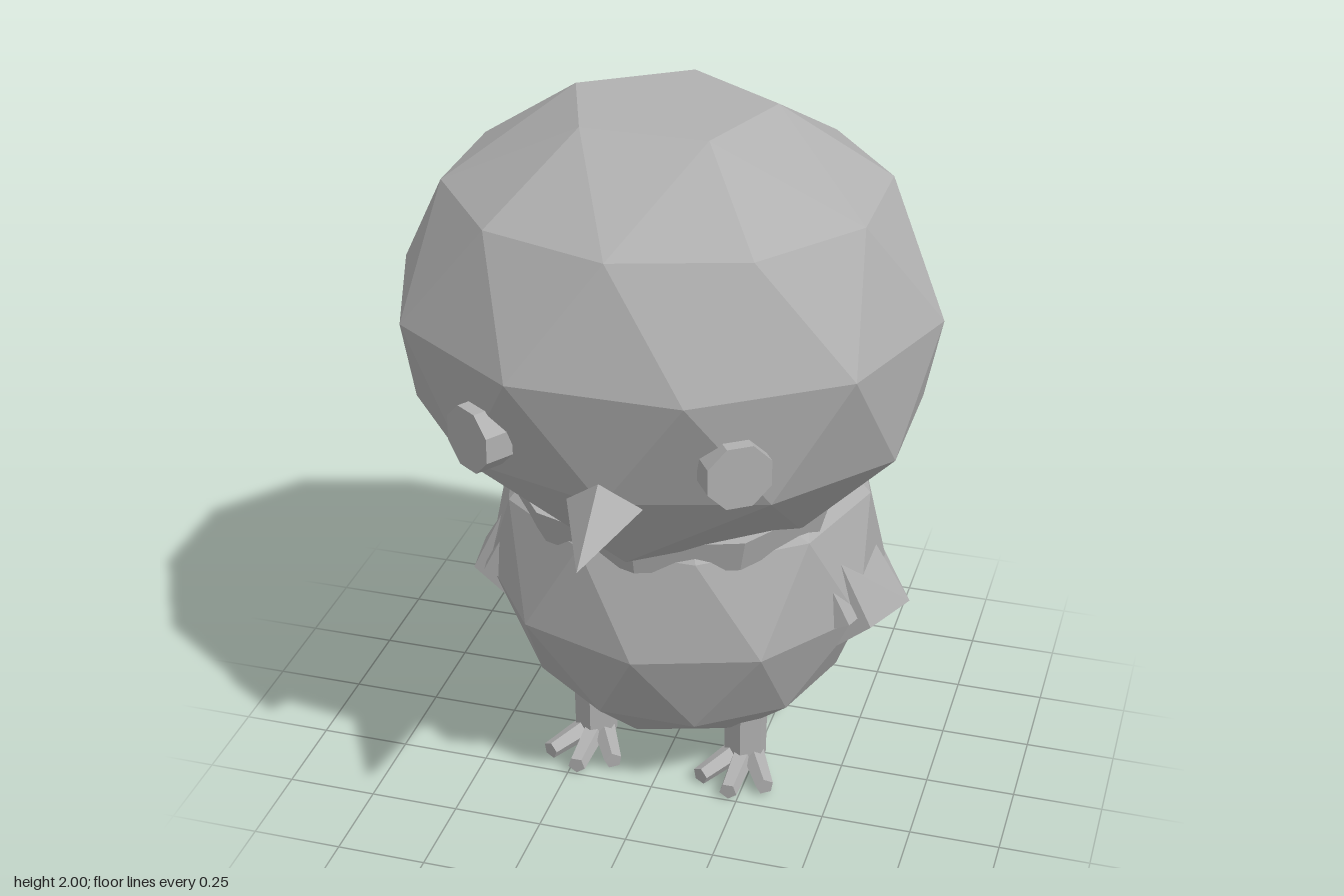
import * as THREE from 'three';
import { ConvexGeometry } from 'three/addons/geometries/ConvexGeometry.js';

const plain = new THREE.MeshStandardMaterial({ color: 0xb0b0b0 });
plain.name = 'plain grey';
plain.flatShading = true;

function add(parent, name, geometry) {
  const mesh = new THREE.Mesh(geometry, plain);
  mesh.name = name;
  parent.add(mesh);
  return mesh;
}

// Faceted ball with icosphere topology: five rings of [y, rx, rz, cz] between two poles
function facetedBall(rings, start) {
  const counts = [5, 10, 10, 10, 5], offsets = [0, 0, 18, 0, 36];
  const [r1, r2, r3, r4, r5] = rings.map(([y, rx, rz, cz], j) => (i) => {
    const t = start + THREE.MathUtils.degToRad(offsets[j] + (i % counts[j]) * 360 / counts[j]);
    return [rx * Math.sin(t), y, cz + rz * Math.cos(t)];
  });
  const top = [0, rings[0][0], rings[0][3]], bottom = [0, rings[4][0], rings[4][3]];
  const pos = [];
  const tri = (a, b, c) => pos.push(...a, ...b, ...c);
  for (let i = 0; i < 5; i++) {
    const j = 2 * i;
    tri(top, r1(i), r1(i + 1));
    tri(r1(i), r2(j), r2(j + 1));
    tri(r1(i), r2(j + 1), r1(i + 1));
    tri(r1(i + 1), r2(j + 1), r2(j + 2));
    tri(r4(j + 1), r5(i), r4(j + 2));
    tri(r4(j + 2), r5(i), r5(i + 1));
    tri(r4(j + 2), r5(i + 1), r4(j + 3));
    tri(r5(i), bottom, r5(i + 1));
  }
  for (let k = 0; k < 10; k++) {
    tri(r2(k), r3(k), r2(k + 1));
    tri(r2(k + 1), r3(k), r3(k + 1));
    tri(r3(k), r4(k), r4(k + 1));
    tri(r3(k), r4(k + 1), r3(k + 1));
  }
  const g = new THREE.BufferGeometry();
  g.setAttribute('position', new THREE.Float32BufferAttribute(pos, 3));
  g.computeVertexNormals();
  return g;
}

// Convex solid from corner points, optionally mirrored in x
const hull = (points, side = 1) =>
  new ConvexGeometry(points.map(([x, y, z]) => new THREE.Vector3(x * side, y, z)));

// Tapered rod between two points
function rod(parent, name, a, b, r0, r1, sides) {
  const from = new THREE.Vector3(...a), to = new THREE.Vector3(...b);
  const dir = to.clone().sub(from);
  const mesh = add(parent, name, new THREE.CylinderGeometry(r1, r0, dir.length(), sides));
  mesh.position.copy(from).add(to).multiplyScalar(0.5);
  mesh.quaternion.setFromUnitVectors(new THREE.Vector3(0, 1, 0), dir.normalize());
  return mesh;
}

export function createModel() {
  const chick = new THREE.Group();
  chick.name = 'chick';

  add(chick, 'head', facetedBall([
    [2.0, 0.284, 0.26, 0.07],
    [1.8, 0.585, 0.55, 0.07],
    [1.49, 0.735, 0.684, 0.07],
    [1.16, 0.69, 0.612, 0.05],
    [0.88, 0.42, 0.42, 0.05],
  ], Math.PI));

  add(chick, 'body', facetedBall([
    [1.06, 0.33, 0.33, -0.13],
    [0.84, 0.525, 0.53, -0.13],
    [0.54, 0.57, 0.57, -0.13],
    [0.26, 0.445, 0.44, -0.13],
    [0.1, 0.25, 0.24, -0.1],
  ], Math.PI / 2));

  // Collar: a short band that rises towards the back
  const collar = new THREE.CylinderGeometry(1, 0.94, 0.1, 10);
  collar.scale(0.49, 1, 0.42);
  const p = collar.attributes.position;
  for (let i = 0; i < p.count; i++) p.setY(i, p.getY(i) + 0.91 - 0.15 * p.getZ(i));
  collar.computeVertexNormals();
  add(chick, 'collar', collar);

  add(chick, 'upperBeak', hull([
    [0, 1.235, 0.69], [0.1, 1.15, 0.64], [-0.1, 1.15, 0.64],
    [0, 1.16, 0.58], [0, 1.085, 0.87],
  ]));
  add(chick, 'lowerBeak', hull([
    [0.09, 1.14, 0.6], [-0.09, 1.14, 0.6], [0, 1.07, 0.62], [0, 1.085, 0.81],
  ]));

  add(chick, 'tail', hull([
    [0, 1.04, -0.83], [0, 0.955, -0.875],
    ...[1, -1].flatMap((s) => [
      [0.065 * s, 1.025, -0.84], [0.06 * s, 0.965, -0.865],
      [0.095 * s, 0.88, -0.52], [0.08 * s, 0.76, -0.56], [0.03 * s, 0.9, -0.5],
    ]),
  ]));

  for (const s of [1, -1]) {
    const label = s > 0 ? 'left' : 'right';

    // Eye disc turned outwards
    const eyeShape = new THREE.CylinderGeometry(0.09, 0.09, 0.08, 8);
    eyeShape.rotateY(Math.PI / 8);
    eyeShape.rotateX(Math.PI / 2);
    const eye = add(chick, label + 'Eye', eyeShape);
    eye.position.set(0.33 * s, 1.29, 0.625);
    eye.rotation.y = 0.6 * s;

    // Wing: raised shoulder, swept tip and a small feather in front
    const wing = new THREE.Group();
    wing.name = label + 'Wing';
    chick.add(wing);
    add(wing, 'wingShoulder', hull([
      [0.49, 0.72, 0.07], [0.58, 0.53, 0.07], [0.47, 0.44, 0.07], [0.42, 0.6, 0.07],
      [0.5, 0.7, -0.19], [0.64, 0.47, -0.19], [0.48, 0.36, -0.19], [0.42, 0.6, -0.19],
    ], s));
    add(wing, 'wingTip', hull([
      [0.53, 0.62, -0.19], [0.64, 0.47, -0.19], [0.48, 0.36, -0.19], [0.42, 0.5, -0.19],
      [0.52, 0.51, -0.27], [0.5, 0.51, -0.43], [0.51, 0.42, -0.43],
      [0.44, 0.34, -0.43], [0.42, 0.48, -0.43],
    ], s));
    add(wing, 'wingFeather', hull([
      [0.48, 0.66, 0.12], [0.53, 0.56, 0.12], [0.46, 0.53, 0.12],
      [0.48, 0.66, 0.04], [0.55, 0.55, 0.04], [0.44, 0.53, 0.04],
    ], s));

    // Leg and foot
    const x = 0.225 * s;
    rod(chick, label + 'Leg', [x, 0.02, 0.05], [x, 0.3, 0.05], 0.062, 0.065, 6);
    const foot = new THREE.Group();
    foot.name = label + 'Foot';
    chick.add(foot);
    for (const k of [-1, 0, 1]) {
      rod(foot, 'toe', [x + 0.02 * k, 0.033, 0.05],
        [x + 0.095 * k, 0.025, 0.245 - 0.05 * Math.abs(k)], 0.035, 0.026, 5);
    }
    rod(foot, 'backToe', [x, 0.04, 0.05], [x, 0.045, -0.065], 0.03, 0.03, 5);
  }
  return chick;
}
